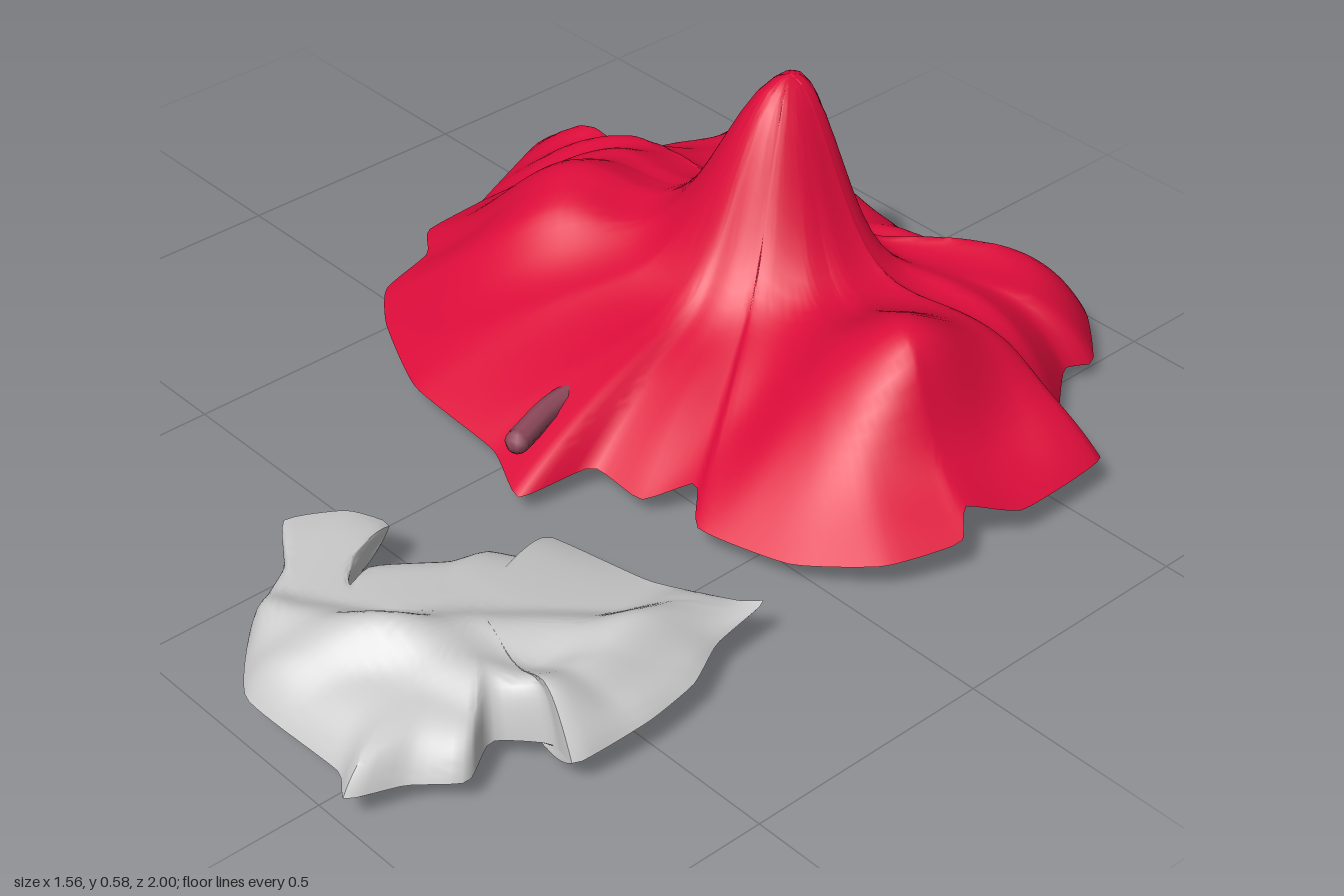
import * as THREE from 'three';
import { toCreasedNormals } from 'three/addons/utils/BufferGeometryUtils.js';

const { lerp, smoothstep } = THREE.MathUtils;
const mat = (color) => new THREE.MeshStandardMaterial({ color, side: THREE.DoubleSide });

// Sheet lofted from an inner point to a closed rim; height(x, z, t, rimY, u) shapes it
function sheet(rim, inner, height, segs, rings, faceDown = false) {
  const curve = new THREE.CatmullRomCurve3(rim.map(([x, z, y]) => new THREE.Vector3(x, y, z)), true, 'catmullrom', 0.25);
  const pos = [], idx = [];
  for (let i = 0; i < segs; i++) {
    const u = i / segs, p = curve.getPointAt(u), [cx, cz] = inner(p);
    for (let j = 0; j <= rings; j++) {
      // rings crowd towards the rim, where the cloth drops steeply
      const t = Math.sin((j / rings) * Math.PI / 2), x = lerp(cx, p.x, t), z = lerp(cz, p.z, t);
      pos.push(x, height(x, z, t, p.y, u), z);
      if (j === rings) continue;
      const a = i * (rings + 1) + j, b = ((i + 1) % segs) * (rings + 1) + j;
      if (faceDown) idx.push(a, b + 1, a + 1, a, b, b + 1);
      else idx.push(a, a + 1, b + 1, a, b + 1, b);
    }
  }
  const g = new THREE.BufferGeometry();
  g.setAttribute('position', new THREE.Float32BufferAttribute(pos, 3));
  g.setIndex(idx);
  return toCreasedNormals(g, 0.9);
}

// Rounded bump with a different spread on each side of its centre
function bump(x, z, cx, cz, left, right, back, front) {
  const dx = (x - cx) / (x < cx ? left : right), dz = (z - cz) / (z < cz ? back : front);
  return Math.exp(-(dx * dx + dz * dz) / 2);
}

// Blunt peak that leans back: full towards the front, steep behind
function peak(x, z) {
  const dx = Math.abs(x - 0.02) / 0.145, dz = z + 0.51;
  return Math.exp(-(dx ** 2) - (dz < 0 ? (-dz / 0.085) ** 3 : (dz / 0.19) ** 2.5));
}

// Fold: 1 on the line through (x0, z0) along the angle, fading smoothly to 0 at the width
function fold(x, z, x0, z0, angle, width) {
  const d = (x - x0) * Math.sin(angle) - (z - z0) * Math.cos(angle);
  return smoothstep(1 - Math.abs(d) / width, 0, 1);
}

// Rims as [x, z, y]
const redRim = [
  [0.13, 0.26, 0.05], [0.16, 0.11, 0.06], [0.28, 0.1, 0.05], [0.34, 0.02, 0.08], [0.42, 0.09, 0.06],
  [0.6, 0.04, 0.06], [0.73, -0.06, 0.08], [0.78, -0.2, 0.09], [0.74, -0.25, 0.12], [0.78, -0.36, 0.08],
  [0.77, -0.58, 0.08], [0.64, -0.62, 0.05], [0.51, -0.78, 0.05], [0.53, -0.84, 0.05], [0.42, -0.94, 0.07],
  [0.33, -0.92, 0.05], [0.29, -0.84, 0.06], [0.18, -0.81, 0.04], [0.06, -0.83, 0.06], [-0.05, -0.84, 0.04],
  [-0.2, -0.83, 0.05], [-0.28, -0.83, 0.05], [-0.37, -0.83, 0.1], [-0.42, -1.0, 0.08], [-0.5, -0.9, 0.05],
  [-0.53, -0.78, 0.03], [-0.61, -0.62, 0.01], [-0.77, -0.6, 0.06], [-0.77, -0.55, 0.06], [-0.7, -0.35, 0.04],
  [-0.64, -0.32, 0.09], [-0.65, -0.17, 0.07], [-0.57, -0.1, 0.08], [-0.55, 0.02, 0.06], [-0.45, 0.1, 0.06],
  [-0.25, 0.19, 0.06], [0.0, 0.21, 0.06],
];

function redHeight(x, z, t, rimY, u) {
  const inside = 1 - t ** 6, rear = smoothstep(-z, 0.4, 0.75);
  const side = smoothstep(Math.abs(x), 0.3, 0.55) * smoothstep(-z, -0.1, 0.15);
  // the back hangs almost straight down, the front slopes gently
  let y = lerp(0.22, rimY, t ** lerp(2.7 + 0.9 * side, 7, rear));
  y += inside * 0.37 * peak(x, z);
  y += inside * 0.17 * bump(x, z, 0.54, -0.34, 0.14, 0.06, 0.13, 0.12);
  y += inside * 0.12 * bump(x, z, -0.38, -0.27, 0.12, 0.13, 0.16, 0.11);
  // radial creases, strongest towards the back
  y += lerp(0.008, 0.035, rear) * t * inside * (0.5 - Math.abs(Math.sin(u * Math.PI * 17 + 2 * t)));
  // gathers from the left corner and a shallow valley behind the front notch
  const corner = smoothstep(-x, 0.3, 0.6) * inside;
  for (const k of [0, 1, 2]) y += corner * 0.03 * (fold(x, z, -0.6, -0.6 + k * 0.12, -0.5, 0.05) - 0.3);
  y -= 0.03 * inside * fold(x, z, 0.27, -0.25, 1.3, 0.12) * smoothstep(t, 0.35, 0.7) * (1 - rear);
  return Math.max(0, y);
}

const greyRim = [
  [0.68, 0.18, 0.1], [0.69, 0.3, 0.08], [0.74, 0.4, 0.08], [0.76, 0.52, 0.08], [0.75, 0.67, 0.07],
  [0.68, 0.66, 0.06], [0.61, 0.73, 0.06], [0.66, 0.82, 0.06], [0.6, 0.9, 0.06], [0.57, 1.0, 0.07],
  [0.5, 0.96, 0.06], [0.27, 0.97, 0.07], [0.15, 0.87, 0.09], [0.07, 0.74, 0.1], [-0.02, 0.67, 0.12],
  [0.03, 0.57, 0.12], [0.1, 0.53, 0.11], [0.13, 0.6, 0.09], [0.19, 0.7, 0.08], [0.17, 0.61, 0.07],
  [0.24, 0.5, 0.07], [0.25, 0.42, 0.07], [0.3, 0.38, 0.07], [0.28, 0.32, 0.08], [0.5, 0.28, 0.09], [0.65, 0.21, 0.1],
].reverse();

// Fold centre slides from the side arm to the middle of the cloth
function greyInner(p) {
  const f = smoothstep(p.x, 0.1, 0.32);
  return [lerp(0.21, 0.45, f), lerp(0.81, 0.62, f)];
}

function greyTop(x, z, t, rimY) {
  const inside = 1 - t ** 10;
  let y = lerp(0.125 + 0.03 * smoothstep(z, 0.25, 0.55), rimY, t ** 9);
  y += 0.035 * inside * bump(x, z, 0.4, 0.74, 0.13, 0.13, 0.15, 0.11);
  for (const [x0, z0, a] of [[0.5, 0.6, -1], [0.33, 0.8, -0.4], [0.62, 0.4, 1.4]])
    y += 0.025 * inside * (fold(x, z, x0, z0, a, 0.08) - 0.35);
  return y;
}

function greyBottom(x, z, t, rimY) {
  const low = lerp(0.075, 0.035, smoothstep(x, 0.15, 0.3));
  return lerp(low + 0.02 * fold(x, z, 0.5, 0.6, 0.9, 0.12), rimY, t ** 8);
}

// Branch tube with a rounded end at each tip
function stick(points, radius) {
  const g = new THREE.Group();
  const pts = points.map((p) => new THREE.Vector3(...p));
  const m = mat(0x8f4a5c);
  g.add(new THREE.Mesh(new THREE.TubeGeometry(new THREE.CatmullRomCurve3(pts), pts.length * 6, radius, 8), m));
  for (const p of [pts[0], pts[pts.length - 1]]) {
    const cap = new THREE.Mesh(new THREE.SphereGeometry(radius, 8, 6), m);
    cap.position.copy(p);
    g.add(cap);
  }
  return g;
}

export function createModel() {
  const model = new THREE.Group();
  const add = (name, obj) => { obj.name = name; model.add(obj); };

  add('redCloth', new THREE.Mesh(sheet(redRim, () => [0.02, -0.505], redHeight, 220, 40), mat(0xdc0c3a)));

  const grey = new THREE.Group();
  const greyMat = mat(0xcccccc);
  grey.add(new THREE.Mesh(sheet(greyRim, greyInner, greyTop, 150, 24), greyMat));
  grey.add(new THREE.Mesh(sheet(greyRim, greyInner, greyBottom, 150, 20, true), greyMat));
  add('greyCloth', grey);

  // Branch lying under the red cloth, its ends poking out front and back
  add('frontBranch', stick([[0.07, 0.118, 0.21], [0.03, 0.12, 0.08], [0.03, 0.115, -0.1], [0.05, 0.13, -0.34]], 0.024));
  add('mainBranch', stick([[0.24, 0.14, -0.4], [0.06, 0.12, -0.35], [-0.19, 0.075, -0.34], [-0.38, 0.06, -0.36],
    [-0.41, 0.06, -0.5], [-0.34, 0.065, -0.65], [-0.38, 0.08, -0.77], [-0.33, 0.13, -0.87]], 0.026));
  add('backTwig', stick([[-0.34, 0.065, -0.64], [-0.25, 0.085, -0.68], [-0.17, 0.1, -0.72]], 0.025));
  add('looseTwig', stick([[0.39, 0.1, -0.65], [0.45, 0.1, -0.6]], 0.025));
  return model;
}
